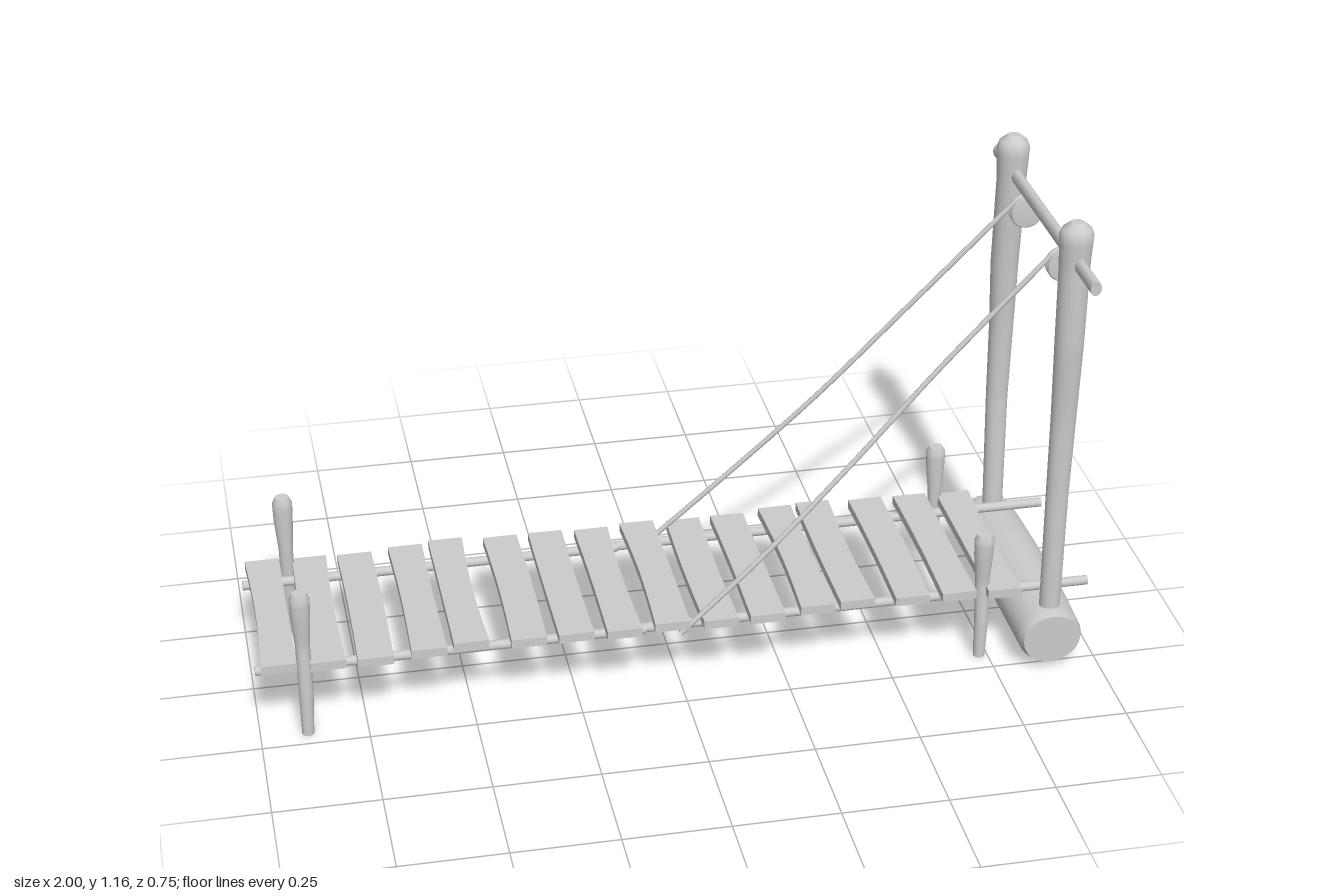
import * as THREE from 'three';

const material = new THREE.MeshStandardMaterial({ color: 0xcccccc });

function add(parent, name, geometry) {
  const mesh = new THREE.Mesh(geometry, material);
  mesh.name = name;
  parent.add(mesh);
  return mesh;
}

// Hewn timber along y: sections are [y, offsetX, offsetZ, radiusX, radiusZ]
function timber(sections, sides = 16, steps = 24) {
  const first = sections[0][0], last = sections[sections.length - 1][0];
  const geometry = new THREE.CylinderGeometry(1, 1, 1, sides, steps);
  const p = geometry.attributes.position;
  for (let i = 0; i < p.count; i++) {
    const y = THREE.MathUtils.lerp(first, last, p.getY(i) + 0.5);
    let k = 0;
    while (k < sections.length - 2 && y > sections[k + 1][0]) k++;
    const a = sections[k], b = sections[k + 1];
    const t = THREE.MathUtils.clamp((y - a[0]) / (b[0] - a[0]), 0, 1);
    const v = a.map((value, j) => THREE.MathUtils.lerp(value, b[j], t));
    p.setXYZ(i, v[1] + p.getX(i) * v[3], y, v[2] + p.getZ(i) * v[4]);
  }
  geometry.computeVertexNormals();
  return geometry;
}

// Deck board with slightly bowed edges and a small twist
function plank(length, seed) {
  const geometry = new THREE.BoxGeometry(0.083, 0.022, length, 2, 1, 10);
  const p = geometry.attributes.position;
  for (let i = 0; i < p.count; i++) {
    const x = p.getX(i), u = p.getZ(i) / length;
    const bow = 0.004 * Math.sin(seed * 2.3) * Math.cos(u * Math.PI);
    const waist = 1 - 0.05 * (1 + Math.sin(seed * 1.7)) * Math.cos(u * Math.PI);
    p.setX(i, x * waist + bow);
    p.setY(i, p.getY(i) + x * u * 0.05 * Math.sin(seed * 3.1));
  }
  geometry.computeVertexNormals();
  return geometry;
}

export function createModel() {
  const model = new THREE.Group();
  model.name = 'drawbridge';

  // Deck planks: [centre x, centre z]
  const deck = new THREE.Group();
  deck.name = 'deck';
  model.add(deck);
  const boards = [
    [-0.947, -0.022], [-0.834, -0.015], [-0.725, -0.01], [-0.6, -0.022],
    [-0.5, -0.033], [-0.367, -0.02], [-0.255, -0.02], [-0.142, -0.013],
    [-0.027, -0.022], [0.088, -0.013], [0.2, -0.013], [0.324, -0.027],
    [0.422, -0.033], [0.554, -0.022], [0.668, -0.018], [0.778, -0.01],
  ];
  boards.forEach(([x, z], i) => {
    add(deck, 'plank', plank(0.466, i + 1)).position.set(x, 0.187, z);
  });

  // Long rails under the deck, each made of two poles meeting end to end
  for (const z of [0.167, -0.207]) {
    for (const [from, to, shift] of [[-1, -0.085, 0.003], [-0.1, 1, -0.002]]) {
      const rail = add(model, 'deckRail',
        new THREE.CylinderGeometry(0.012, 0.012, to - from, 10));
      rail.rotation.z = Math.PI / 2;
      rail.position.set((from + to) / 2, 0.163, z + shift);
    }
  }

  // Short stakes beside the deck: [x, z, height]
  for (const [x, z, h] of [[-0.89, 0.2, 0.38], [-0.89, -0.235, 0.38],
    [0.73, 0.187, 0.335], [0.73, -0.243, 0.335]]) {
    const side = Math.sign(z);
    add(model, 'stake', timber([
      [0, 0, 0.006 * side, 0.014, 0.014],
      [h * 0.3, 0.002, 0.003 * side, 0.017, 0.016],
      [h * 0.62, 0.001, -0.003 * side, 0.017, 0.016],
      [h * 0.84, 0, 0, 0.023, 0.021],
      [h * 0.96, 0, 0, 0.024, 0.022],
      [h, 0, 0, 0.017, 0.016],
    ])).position.set(x, 0, z);
  }

  // Tall gate posts
  const frontPost = [
    [0.13, 0, -0.004, 0.025, 0.023], [0.45, 0, -0.006, 0.027, 0.023],
    [0.65, 0.002, -0.006, 0.03, 0.026], [0.85, 0, 0.002, 0.034, 0.032],
    [1.05, 0, 0, 0.036, 0.034], [1.13, 0, 0, 0.04, 0.038],
    [1.15, 0, 0, 0.032, 0.03], [1.16, 0, 0, 0.015, 0.014],
  ];
  const backPost = [
    [0.13, 0, 0.003, 0.025, 0.023], [0.45, 0, -0.014, 0.027, 0.024],
    [0.65, 0.002, -0.018, 0.03, 0.03], [0.82, 0, -0.015, 0.034, 0.034],
    [1.05, 0, 0, 0.036, 0.034], [1.13, 0, 0, 0.04, 0.038],
    [1.15, 0, 0, 0.032, 0.03], [1.16, 0, 0, 0.015, 0.014],
  ];
  add(model, 'frontPost', timber(frontPost, 18, 64)).position.set(0.888, 0, 0.232);
  add(model, 'backPost', timber(backPost, 18, 64)).position.set(0.888, 0, -0.255);

  // Base log lying across the end of the deck
  const log = add(model, 'baseLog', timber([
    [-0.302, 0, 0, 0.07, 0.062], [-0.285, 0, 0, 0.077, 0.069],
    [-0.1, 0.003, 0, 0.08, 0.071], [0.1, 0.004, 0.002, 0.081, 0.07],
    [0.262, 0, 0.001, 0.077, 0.069], [0.28, 0, 0, 0.07, 0.063],
  ], 24, 30));
  log.rotation.x = Math.PI / 2;
  log.position.set(0.883, 0.081, 0);

  // Crossbar through the post heads
  const bar = add(model, 'crossbar', new THREE.CylinderGeometry(1, 1, 0.755, 14));
  bar.scale.set(0.013, 1, 0.018);
  bar.rotation.x = Math.PI / 2;
  bar.position.set(0.89, 1.065, 0.002);

  // Grooved pulley wheels hanging from the crossbar
  const wheelProfile = [[0, -0.015], [0.036, -0.015], [0.04, -0.011], [0.039, -0.006],
    [0.03, -0.003], [0.03, 0.003], [0.039, 0.006], [0.04, 0.011], [0.036, 0.015], [0, 0.015]]
    .map(([r, y]) => new THREE.Vector2(r, y));
  for (const z of [0.138, -0.149]) {
    const wheel = add(model, 'pulley', new THREE.LatheGeometry(wheelProfile, 24));
    wheel.rotation.x = Math.PI / 2;
    wheel.position.set(0.893, 1.01, z);
  }

  // Hoisting ropes from the middle of the deck up to the pulleys
  const ropes = [
    [[-0.005, 0.158, 0.198], [0.2, 0.345, 0.183], [0.4, 0.54, 0.157],
      [0.62, 0.775, 0.138], [0.865, 1.035, 0.138]],
    [[-0.005, 0.158, -0.222], [0.2, 0.345, -0.207], [0.4, 0.54, -0.186],
      [0.62, 0.775, -0.166], [0.865, 1.035, -0.149]],
  ];
  for (const points of ropes) {
    const curve = new THREE.CatmullRomCurve3(points.map((q) => new THREE.Vector3(...q)));
    add(model, 'rope', new THREE.TubeGeometry(curve, 40, 0.0065, 8));
    // Rope loop around the rail
    const loop = add(model, 'ropeLoop', new THREE.TorusGeometry(0.015, 0.005, 6, 16));
    loop.rotation.y = Math.PI / 2;
    loop.position.set(0, 0.163, points[0][2] > 0 ? 0.167 : -0.207);
  }

  return model;
}
